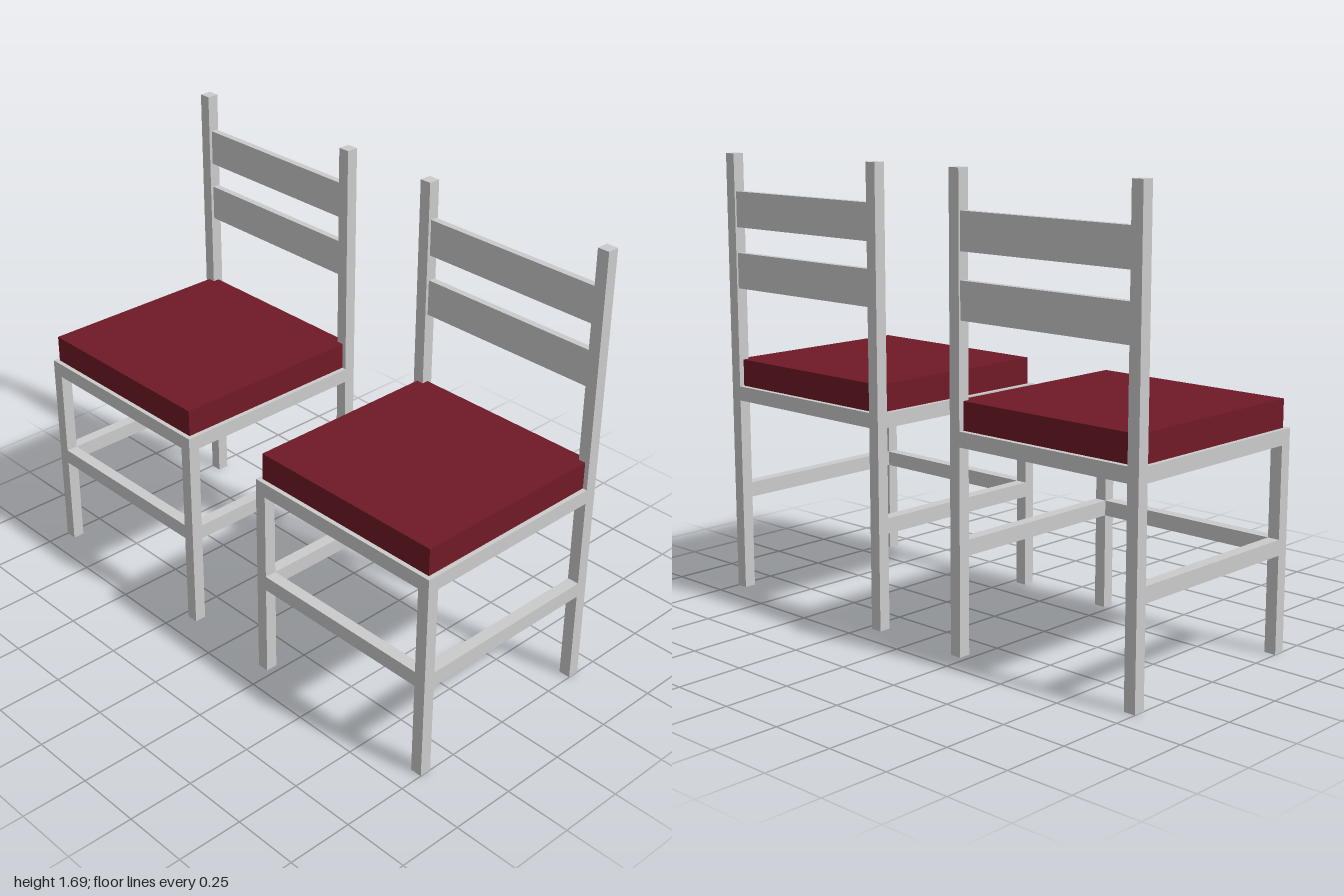
import * as THREE from 'three';

const grey = new THREE.MeshStandardMaterial({ color: 0xcccccc });
const red = new THREE.MeshStandardMaterial({ color: 0x701a26 });

const HALF = 0.41;   // half width and depth of a chair
const LEG = 0.045;   // leg thickness
const INNER = HALF - LEG;
const MID = HALF - LEG / 2;

// Box given by its x, y and z ranges
function addBox(parent, name, [x0, x1], [y0, y1], [z0, z1], material = grey) {
  const mesh = new THREE.Mesh(new THREE.BoxGeometry(x1 - x0, y1 - y0, z1 - z0), material);
  mesh.position.set((x0 + x1) / 2, (y0 + y1) / 2, (z0 + z1) / 2);
  mesh.name = name;
  parent.add(mesh);
}

function createChair() {
  const chair = new THREE.Group();

  // Seat panel and cushion
  addBox(chair, 'seatPanel', [-HALF, HALF], [0.747, 0.802], [-HALF, HALF]);
  addBox(chair, 'cushion', [-0.393, 0.393], [0.802, 0.904], [-0.39, 0.393], red);

  // Legs, rear posts and side stretchers, mirrored
  for (const side of [-1, 1]) {
    const x = [side * MID - LEG / 2, side * MID + LEG / 2];
    const label = side > 0 ? 'left' : 'right';
    addBox(chair, label + 'FrontLeg', x, [0, 0.747], [INNER, HALF]);
    addBox(chair, label + 'BackPost', x, [0, 1.688], [-HALF, -INNER]);
    addBox(chair, label + 'Stretcher', x, [0.358, 0.415], [-INNER, INNER]);
  }

  // Front stretcher
  addBox(chair, 'frontStretcher', [-INNER, INNER], [0.358, 0.415], [INNER, HALF]);

  // Backrest slats
  for (const y of [1.18, 1.412]) {
    addBox(chair, 'backSlat', [-INNER, INNER], [y, y + 0.135], [-0.403, -0.377]);
  }
  return chair;
}

export function createModel() {
  const model = new THREE.Group();
  model.name = 'chairPair';
  for (const side of [-1, 1]) {
    const chair = createChair();
    chair.name = side > 0 ? 'leftChair' : 'rightChair';
    chair.position.x = side * (1 - HALF);
    model.add(chair);
  }
  return model;
}
